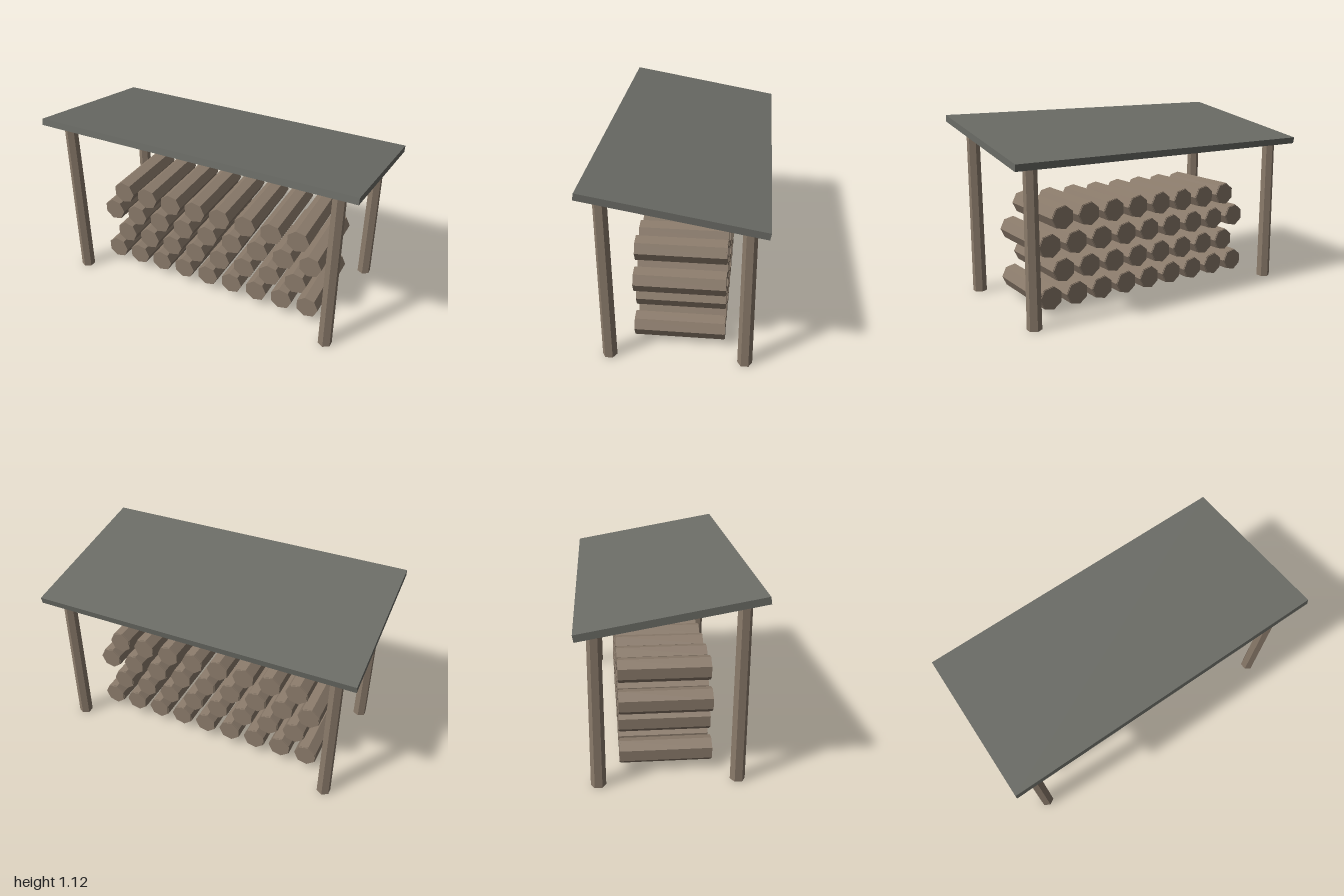
import * as THREE from 'three';

export function createModel() {
  const model = new THREE.Group();
  model.name = 'woodShelter';

  const wood = new THREE.MeshStandardMaterial({ color: 0x8b7b6b, flatShading: true });
  wood.name = 'weatheredWood';
  const slate = new THREE.MeshStandardMaterial({ color: 0x6b6c66, flatShading: true });
  slate.name = 'greyRoofing';

  function add(parent, name, geometry, material, x, y, z) {
    const mesh = new THREE.Mesh(geometry, material);
    mesh.name = name;
    mesh.position.set(x, y, z);
    parent.add(mesh);
    return mesh;
  }

  // Sloping roof slab, high at the front
  const roof = add(model, 'roof', new THREE.BoxGeometry(2, 0.04, 1), slate, 0, 1.016, 0);
  roof.rotation.x = -0.174;

  // Tapered six-sided posts, taller at the front
  for (const [place, height, z] of [['front', 1.072, 0.392], ['back', 0.912, -0.392]]) {
    const post = new THREE.CylinderGeometry(0.039, 0.043, height, 6);
    for (const [side, x] of [['Left', 0.87], ['Right', -0.87]]) {
      add(model, place + side + 'Post', post, wood, x, height / 2, z);
    }
  }

  // Seven-sided logs lying front to back, with a thin cut disc at the back end
  const logBody = new THREE.CylinderGeometry(0.073, 0.073, 0.526, 7, 1, false, Math.PI / 2);
  const cutDisc = new THREE.CylinderGeometry(0.07, 0.07, 0.012, 7, 1, false, Math.PI / 2);
  logBody.rotateX(Math.PI / 2);
  cutDisc.rotateX(Math.PI / 2);

  // Staggered rows of nine and eight logs
  const stack = new THREE.Group();
  stack.name = 'logStack';
  model.add(stack);
  for (let row = 0; row < 4; row++) {
    const count = row % 2 ? 8 : 9;
    for (let i = 0; i < count; i++) {
      const log = new THREE.Group();
      log.name = 'log';
      log.position.set((i - (count - 1) / 2) * 0.174, 0.106 + row * 0.1565, 0);
      add(log, 'logBody', logBody, wood, 0, 0, 0);
      add(log, 'logEnd', cutDisc, wood, 0, 0, -0.263);
      stack.add(log);
    }
  }

  return model;
}
